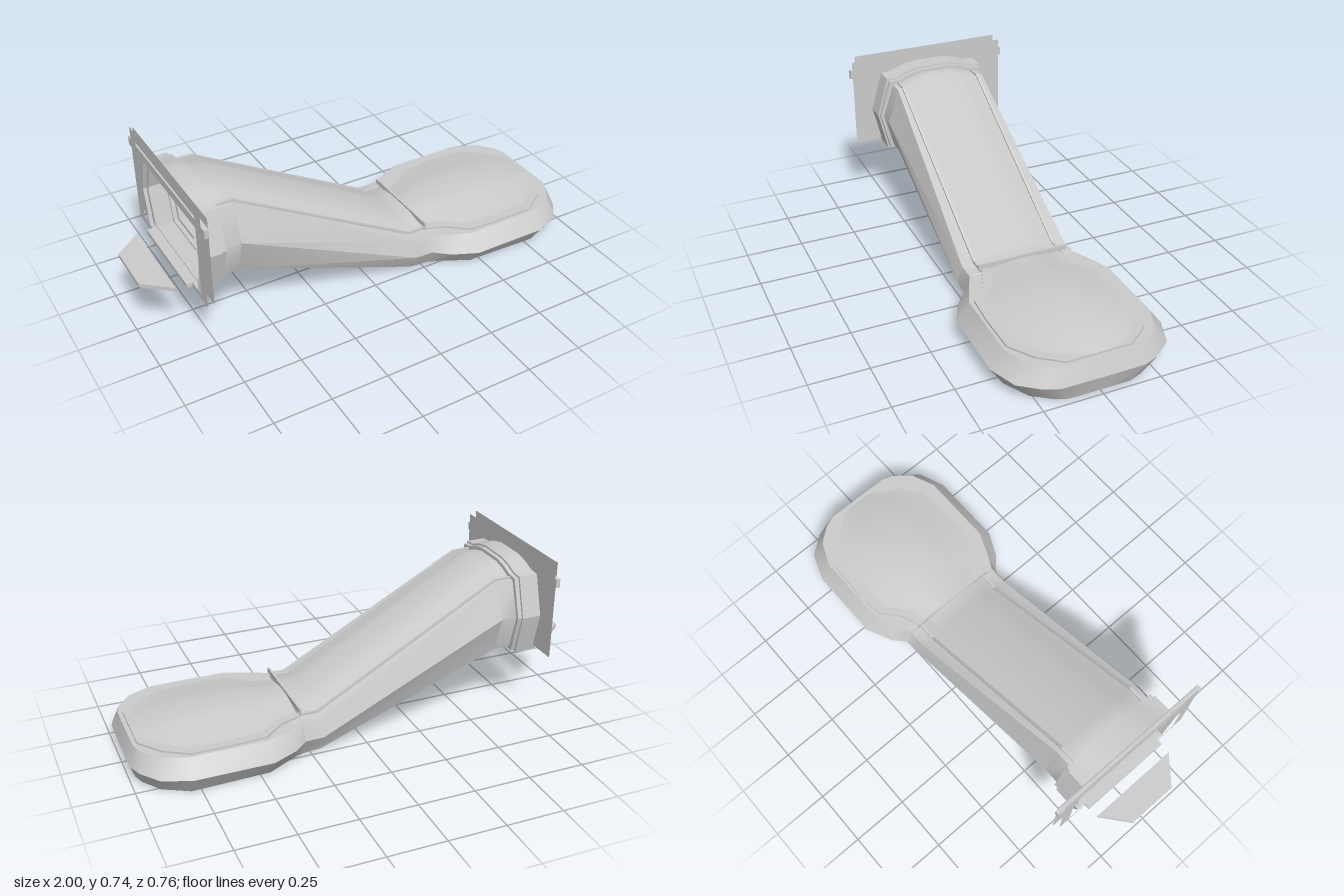
import * as THREE from 'three';
import { toCreasedNormals } from 'three/addons/utils/BufferGeometryUtils.js';

const material = new THREE.MeshStandardMaterial({ color: 0xcccccc, side: THREE.DoubleSide });

// Skin closed rings of [x, y, z] points; rings advance along +x.
function loft(rings, crease = 0.6) {
  const n = rings[0].length, index = [];
  for (let i = 0; i < rings.length - 1; i++) {
    for (let j = 0; j < n; j++) {
      const k = (j + 1) % n;
      const a = i * n + j, b = i * n + k, c = a + n, d = b + n;
      index.push(a, c, d, a, d, b);
    }
  }
  const g = new THREE.BufferGeometry();
  g.setAttribute('position', new THREE.Float32BufferAttribute(rings.flat(2), 3));
  g.setIndex(index);
  return toCreasedNormals(g, crease);
}

// Mirror one half of a cross-section from +z to -z.
const mirrored = half => [...half, ...half.map(([x, y, z]) => [x, y, -z]).reverse()];

// Flat floor, angled sides, flat shoulders and an arched crown.
function section([x, inset, yB, yM, yS, rise, zB, zM, zS]) {
  const half = [[x - inset, yB, zB], [x, yM, zM], [x - inset, yS, zS]];
  for (const [w, h] of [[0.8, 0.1], [0.57, 0.65], [0.31, 1]]) {
    half.push([x - inset, yS + rise * h, zS * w]);
  }
  return mirrored(half);
}

function outline(points, Type = THREE.Shape) {
  return new Type(points.map(([a, b]) => new THREE.Vector2(a, b)));
}
const rect = (w, y0, y1) => [[-w, y0], [w, y0], [w, y1], [-w, y1]];

export function createModel() {
  const model = new THREE.Group();
  const add = (name, geometry, x = 0, y = 0, z = 0) => {
    const mesh = new THREE.Mesh(geometry, material);
    mesh.name = name;
    mesh.position.set(x, y, z);
    model.add(mesh);
    return mesh;
  };
  const box = (name, x0, x1, y0, y1, width) => add(name,
    new THREE.BoxGeometry(x1 - x0, y1 - y0, width), (x0 + x1) / 2, (y0 + y1) / 2, 0);

  // Sloping tunnel flowing into the rounded pod
  add('tunnelAndPod', loft([
    [-0.69, 0, 0.315, 0.47, 0.622, 0.036, 0.22, 0.262, 0.21],
    [-0.62, 0, 0.315, 0.47, 0.622, 0.036, 0.22, 0.262, 0.21],
    [0.2, 0, 0.003, 0.08, 0.155, 0.036, 0.22, 0.262, 0.24],
    [0.28, 0, 0, 0.08, 0.155, 0.036, 0.225, 0.265, 0.24],
    [0.285, 0, 0, 0.08, 0.155, 0, 0.226, 0.268, 0.24],
    [0.345, 0, 0, 0.08, 0.155, 0, 0.25, 0.32, 0.27],
    [0.455, 0, 0, 0.08, 0.155, 0, 0.31, 0.371, 0.315],
    [0.79, 0, 0, 0.08, 0.155, 0, 0.32, 0.371, 0.315],
    [0.91, 0.012, 0, 0.08, 0.155, 0, 0.26, 0.325, 0.27],
    [0.975, 0.02, 0, 0.08, 0.155, 0, 0.18, 0.24, 0.2],
    [0.998, 0.025, 0, 0.08, 0.155, 0, 0.13, 0.18, 0.15],
    [1, 0.026, 0, 0.08, 0.155, 0, 0, 0, 0],
  ].map(section)));

  // Stepped collar, wrapped around the tunnel mouth
  const collarRing = (x, o) => section(
    [x, 0, 0.315 - o, 0.47, 0.622 + o, 0.036, 0.22 + o, 0.262 + o, 0.21 + o]);
  add('collar', loft([
    collarRing(-0.81, 0.022), collarRing(-0.71, 0.022), collarRing(-0.709, 0.014),
    collarRing(-0.691, 0.014), collarRing(-0.69, 0),
  ], 0.5));

  // Wall plate with the mouth cut out, and a bordering frame behind it
  const sheet = (name, x, outer, inner) => {
    const shape = outline(outer);
    shape.holes.push(outline(inner, THREE.Path));
    add(name, new THREE.ShapeGeometry(shape), x).rotation.y = Math.PI / 2;
  };
  const mouth = section([0, 0, 0.32, 0.47, 0.622, 0.036, 0.22, 0.262, 0.21])
    .map(([, y, z]) => [z, y]);
  sheet('wallPlate', -0.795, rect(0.37, 0.315, 0.717), mouth);
  sheet('rearFrame', -0.815, rect(0.35, 0.295, 0.737), rect(0.295, 0.318, 0.69));
  box('crossBar', -0.815, -0.795, 0.637, 0.675, 0.76);

  // Sill and the tapered step outside the mouth
  box('sill', -0.84, -0.812, 0.3, 0.318, 0.415);
  const step = new THREE.ExtrudeGeometry(
    outline([[-0.885, -0.205], [-0.885, 0.205], [-1, 0.11], [-1, -0.11]]),
    { depth: 0.018, bevelEnabled: false });
  add('entryStep', step.rotateX(-Math.PI / 2), 0, 0.3);

  // Slim rails along both shoulders of the tunnel
  const rail = new THREE.ExtrudeGeometry(
    outline([[-0.69, 0.61], [-0.62, 0.61], [0.2, 0.145], [0.28, 0.145],
      [0.28, 0.17], [0.2, 0.17], [-0.62, 0.632], [-0.69, 0.632]]),
    { depth: 0.012, bevelEnabled: false });
  for (const side of [-1, 1]) add('roofRail', rail, 0, 0, side * 0.184 - 0.006);

  // Upright strip where the tunnel meets the pod
  box('dividerStrip', 0.276, 0.286, 0.178, 0.2, 0.405);

  // Pod roof: a thin lip and a shallow dome, as [x, half width, peak height]
  const roof = [[0.285, 0.19, 0.187], [0.37, 0.22, 0.191], [0.46, 0.295, 0.2],
    [0.6, 0.303, 0.207], [0.78, 0.3, 0.197], [0.88, 0.235, 0.18], [0.955, 0.14, 0.163]];
  const edge = roof.map(([x, w]) => [x, w]);
  const lip = new THREE.ExtrudeGeometry(
    outline([...edge, ...edge.map(([x, w]) => [x, -w]).reverse()]),
    { depth: 0.013, bevelEnabled: false });
  add('roofLip', lip.rotateX(-Math.PI / 2), 0, 0.15);
  const domeRing = ([x, w, top]) => mirrored(
    [[1, 0], [0.83, 0.12], [0.43, 0.78], [0.22, 1]].map(
      ([f, h]) => [x, 0.16 + (top - 0.16) * h, (w - 0.015) * f]));
  add('roofDome', loft(roof.map(domeRing)));

  return model;
}
